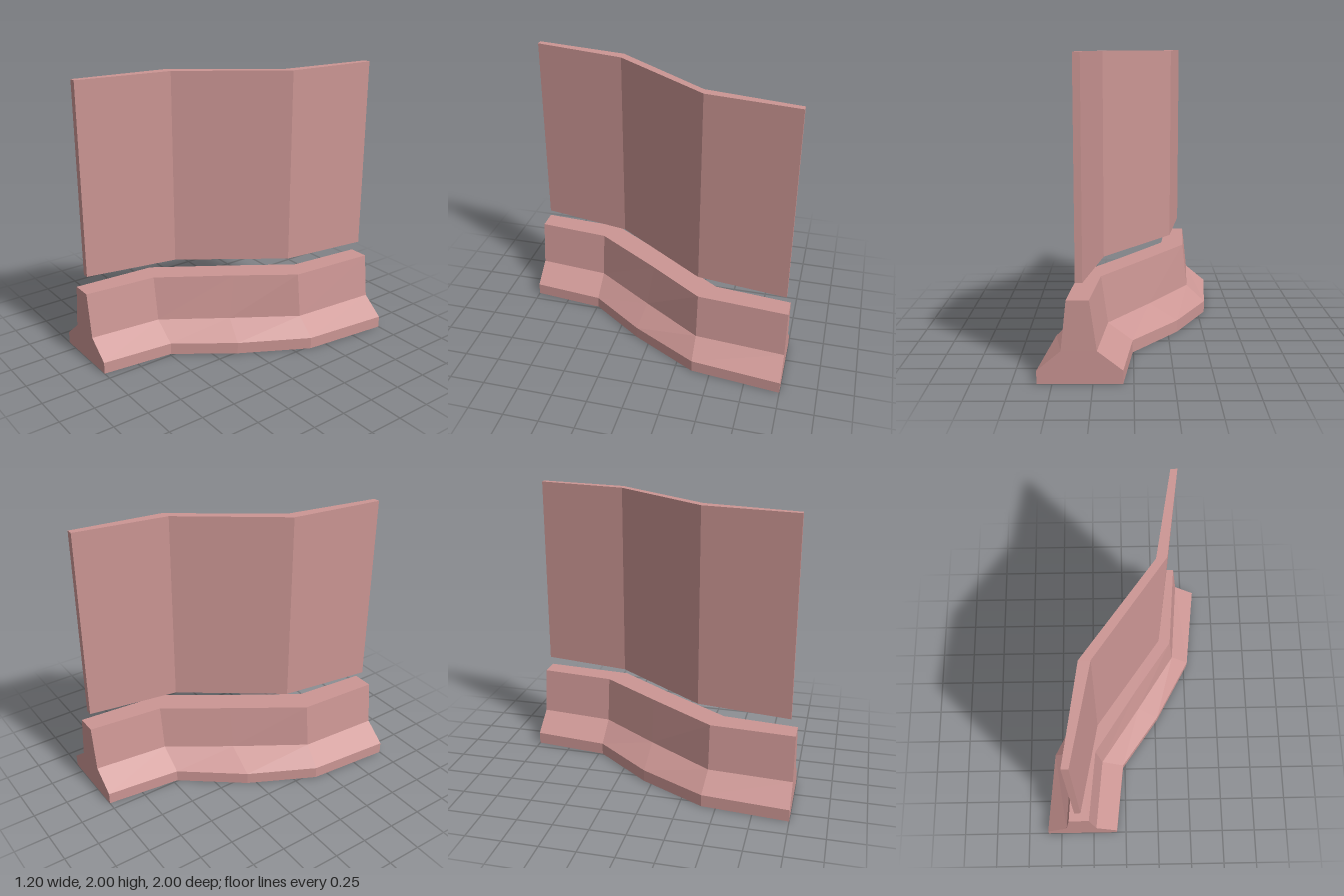
import * as THREE from 'three';

const material = new THREE.MeshStandardMaterial({ color: 0xcc9694, flatShading: true });

// Skin a solid between rails { y, path: [[x, z], ...] } running front to back,
// listed counter-clockwise as seen from the front.
function railSolid(name, rails) {
  const positions = [];
  const point = (r, s) => {
    const { y, path } = rails[r % rails.length];
    return [path[s][0], y, path[s][1]];
  };
  const triangle = (a, b, c) => positions.push(...a, ...b, ...c);
  const last = rails[0].path.length - 1;

  for (let r = 0; r < rails.length; r++) {
    for (let s = 0; s < last; s++) {
      const a = point(r, s), b = point(r, s + 1);
      const c = point(r + 1, s + 1), d = point(r + 1, s);
      triangle(a, b, c);
      triangle(a, c, d);
    }
  }

  // End caps
  for (const s of [0, last]) {
    const outline = rails.map((rail) => new THREE.Vector2(rail.path[s][0], rail.y));
    for (const [a, b, c] of THREE.ShapeUtils.triangulateShape(outline, [])) {
      if (s === 0) triangle(point(a, s), point(b, s), point(c, s));
      else triangle(point(a, s), point(c, s), point(b, s));
    }
  }

  const geometry = new THREE.BufferGeometry();
  geometry.setAttribute('position', new THREE.Float32BufferAttribute(positions, 3));
  geometry.computeVertexNormals();
  const mesh = new THREE.Mesh(geometry, material);
  mesh.name = name;
  return mesh;
}

export function createModel() {
  const group = new THREE.Group();
  group.name = 'curvedRoadBarrier';

  // Plan curves of the barrier: foot, shoulder and crest on either side
  const footL = [[-0.07, 1], [-0.015, 0.49], [0.265, 0.1], [0.525, -0.37], [0.595, -1]];
  const shoulderL = [[-0.225, 1], [-0.175, 0.49], [0.115, 0.06], [0.395, -0.37], [0.445, -1]];
  const crestL = [[-0.27, 1], [-0.22, 0.49], [0.095, 0.01], [0.36, -0.37], [0.41, -1]];
  const crestR = [[-0.415, 1], [-0.38, 0.42], [-0.07, -0.05], [0.215, -0.47], [0.27, -1]];
  const shoulderR = [[-0.45, 1], [-0.415, 0.42], [-0.115, -0.05], [0.17, -0.47], [0.225, -1]];
  const footR = [[-0.6, 1], [-0.55, 0.4], [-0.315, -0.06], [0.005, -0.47], [0.065, -1]];

  group.add(railSolid('barrierBase', [
    { y: 0, path: footL },
    { y: 0.085, path: footL },
    { y: 0.21, path: shoulderL },
    { y: 0.53, path: crestL },
    { y: 0.53, path: crestR },
    { y: 0.21, path: shoulderR },
    { y: 0.085, path: footR },
    { y: 0, path: footR },
  ]));

  // Thin folded screen floating above the crest
  const screenL = [[-0.325, 0.96], [-0.2, 0.315], [0.27, -0.35], [0.355, -0.975]];
  const screenR = [[-0.37, 0.96], [-0.275, 0.315], [0.2, -0.34], [0.31, -0.975]];
  group.add(railSolid('screenPanel', [
    { y: 0.63, path: screenL },
    { y: 2, path: screenL },
    { y: 2, path: screenR },
    { y: 0.63, path: screenR },
  ]));

  return group;
}
